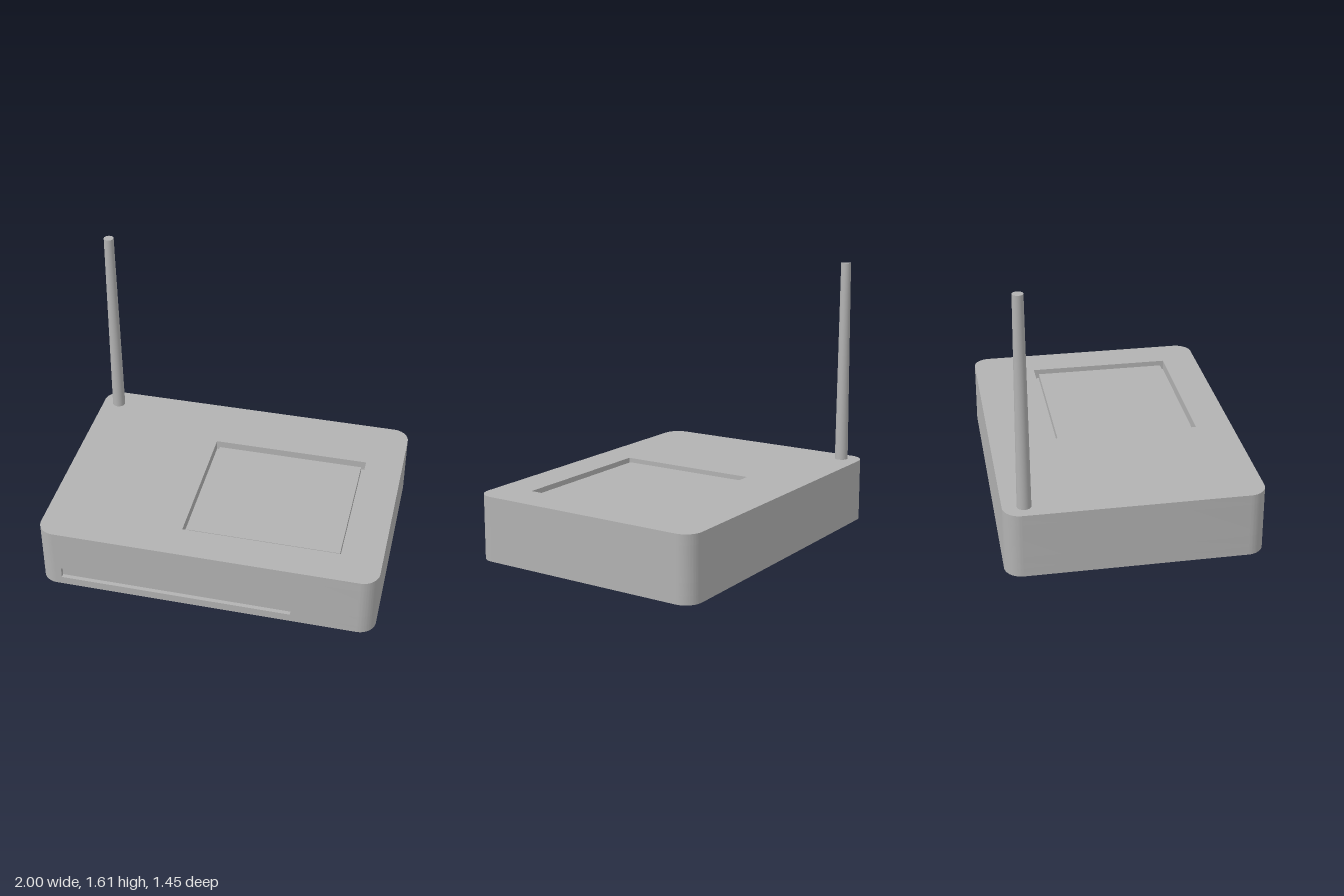
import * as THREE from 'three';
import { toCreasedNormals } from 'three/addons/utils/BufferGeometryUtils.js';

const W = 1, D = 0.725, H = 0.38, R = 0.1;

// Rounded outline of the case (shape y = -z), optionally notched along the front edge
function outline(notch) {
  const s = new THREE.Shape();
  s.moveTo(-W + R, -D);
  if (notch) {
    s.lineTo(notch.x0, -D);
    s.lineTo(notch.x0, -D + notch.depth);
    s.lineTo(notch.x1, -D + notch.depth);
    s.lineTo(notch.x1, -D);
  }
  s.lineTo(W - R, -D);
  s.absarc(W - R, -D + R, R, -Math.PI / 2, 0, false);
  s.lineTo(W, D - R);
  s.absarc(W - R, D - R, R, 0, Math.PI / 2, false);
  s.lineTo(-W + R, D);
  s.absarc(-W + R, D - R, R, Math.PI / 2, Math.PI, false);
  s.lineTo(-W, -D + R);
  s.absarc(-W + R, -D + R, R, Math.PI, Math.PI * 1.5, false);
  return s;
}

export function createModel() {
  const model = new THREE.Group();
  model.name = 'wirelessRouter';
  const grey = new THREE.MeshStandardMaterial({ color: 0xb2b2b2 });
  grey.name = 'grey plastic';

  const add = (name, geometry, parent = model) => {
    const mesh = new THREE.Mesh(geometry, grey);
    mesh.name = name;
    parent.add(mesh);
    return mesh;
  };

  // Case, stacked from horizontal layers
  const body = new THREE.Group();
  body.name = 'case';
  model.add(body);
  const layer = (name, shape, y0, y1) => {
    const g = new THREE.ExtrudeGeometry(shape, { depth: y1 - y0, bevelEnabled: false, curveSegments: 12 });
    g.rotateX(-Math.PI / 2).translate(0, y0, 0);
    add(name, toCreasedNormals(g, Math.PI / 6), body);
  };

  // Top rim with the square opening
  const rim = outline();
  const hole = new THREE.Path();
  hole.moveTo(-0.175, 0.35);
  hole.lineTo(0.775, 0.35);
  hole.lineTo(0.775, -0.51);
  hole.lineTo(-0.175, -0.51);
  hole.closePath();
  rim.holes.push(hole);

  const grooveY = H - 0.06;
  layer('caseBottom', outline(), 0, 0.05);
  layer('frontSlotLayer', outline({ x0: -0.865, x1: 0.515, depth: 0.025 }), 0.05, 0.12);
  layer('caseMiddle', outline(), 0.12, grooveY);
  layer('caseTop', rim, grooveY, H);

  // Panel sitting slightly below the top, with a groove around it
  const panelTop = H - 0.02;
  add('topPanel', new THREE.BoxGeometry(0.9, panelTop - grooveY, 0.805))
    .position.set(0.3, (panelTop + grooveY) / 2, 0.082);

  // Tapered antenna at the back
  const antennaTop = 1.605;
  add('antenna', new THREE.CylinderGeometry(0.03, 0.04, antennaTop - H, 32))
    .position.set(-0.9, (antennaTop + H) / 2, -0.605);

  return model;
}
